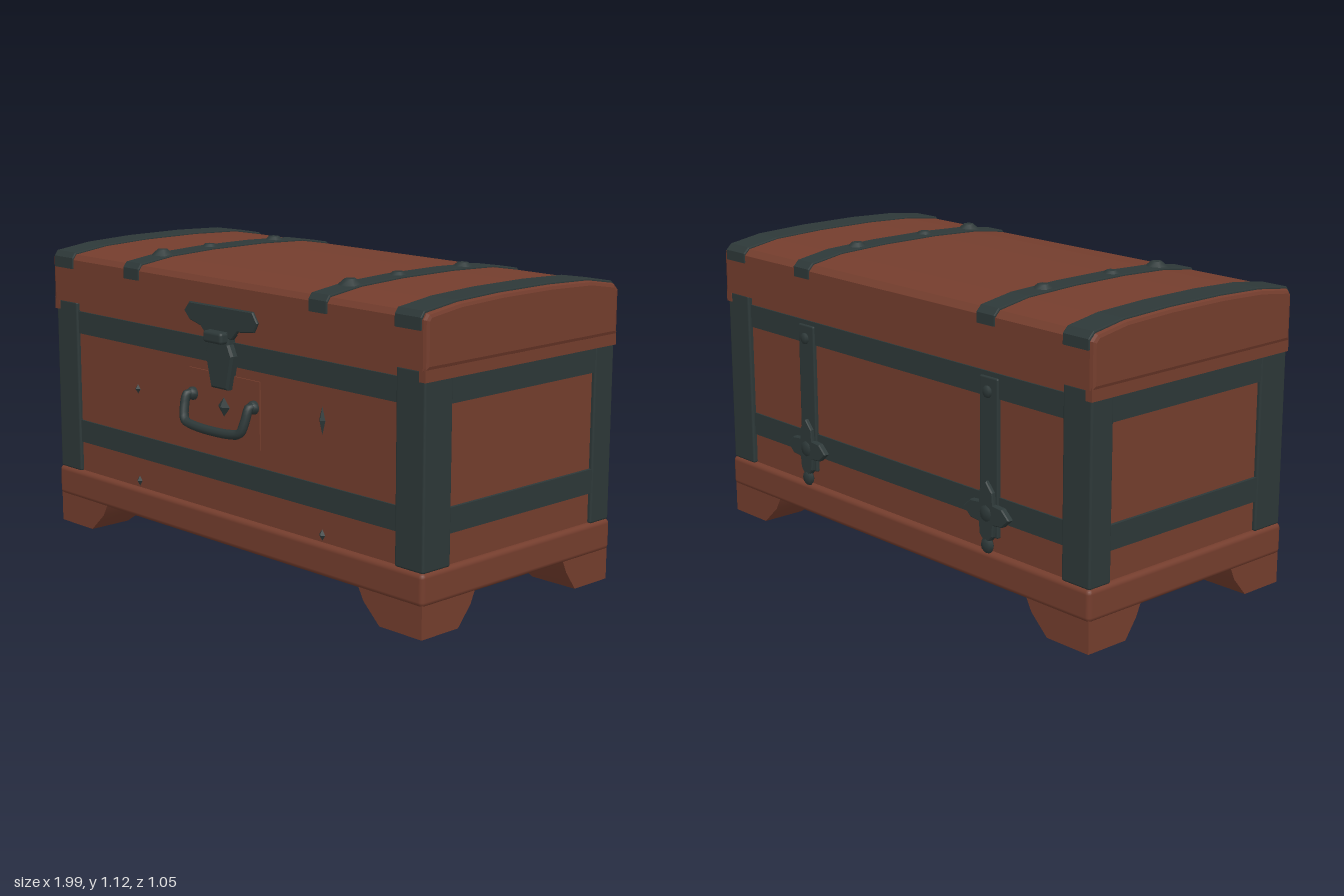
import * as THREE from 'three';
import { RoundedBoxGeometry } from 'three/addons/geometries/RoundedBoxGeometry.js';

export function createModel() {
  const chest = new THREE.Group();
  chest.name = 'chest';
  const wood = new THREE.MeshStandardMaterial({ color: 0x743d2d });
  wood.name = 'brown wood';
  const iron = new THREE.MeshStandardMaterial({ color: 0x2d3838 });
  iron.name = 'dark iron';

  const add = (name, geometry, material) => {
    const mesh = new THREE.Mesh(geometry, material);
    mesh.name = name;
    chest.add(mesh);
    return mesh;
  };
  // Box given by its limits on each axis; r rounds its edges
  const box = (name, material, x0, x1, y0, y1, z0, z1, r = 0) => {
    const size = [x1 - x0, y1 - y0, z1 - z0];
    const g = r ? new RoundedBoxGeometry(...size, 2, r) : new THREE.BoxGeometry(...size);
    return add(name, g.translate((x0 + x1) / 2, (y0 + y1) / 2, (z0 + z1) / 2), material);
  };
  const shapeOf = (pts) => new THREE.Shape(pts.map(([x, y]) => new THREE.Vector2(x, y)));
  // Profile in (z, y) swept from x0 to x1 with chamfered ends
  const sweep = (name, material, pts, x0, x1, b) => {
    const g = new THREE.ExtrudeGeometry(shapeOf(pts.map(([z, y]) => [-z, y])), {
      depth: x1 - x0 - 2 * b, bevelEnabled: true, bevelSize: b, bevelThickness: b, bevelOffset: -b, bevelSegments: 2,
    });
    return add(name, g.rotateY(Math.PI / 2).translate(x0 + b, 0, 0), material);
  };
  // Flat ornament in (x, y) with its back on the plane z
  const plate = (name, material, pts, z, depth, bevel = 0.004) => {
    const g = new THREE.ExtrudeGeometry(shapeOf(pts), {
      depth: depth - bevel, bevelSize: bevel, bevelThickness: bevel, bevelOffset: -bevel, bevelSegments: 1,
    });
    return add(name, g.translate(0, 0, z), material);
  };

  // Body and base rim
  box('body', wood, -0.97, 0.97, 0.15, 0.95, -0.488, 0.44);
  box('baseRim', wood, -0.99, 0.99, 0.11, 0.225, -0.512, 0.462, 0.018);

  // Lid with a slightly domed top
  const top = [[0.46, 1.055], [0.445, 1.075], [0.3, 1.094], [0.1, 1.102], [-0.15, 1.102], [-0.36, 1.094], [-0.49, 1.072], [-0.512, 1.05]];
  sweep('lid', wood, [[0.46, 0.89], ...top, [-0.512, 0.89]], -0.993, 0.993, 0.015);

  // Iron straps over the lid, ending in short tabs
  const grown = top.map(([z, y]) => [z + (z > 0.4 ? 0.004 : z < -0.45 ? -0.004 : 0), y + 0.007]);
  const strapProfile = [[0.464, 1.02], ...grown, [-0.516, 1.02]];
  for (const [x0, x1] of [[-0.978, -0.86], [-0.545, -0.455], [0.455, 0.545], [0.855, 0.973]]) {
    sweep('lidStrap', iron, strapProfile, x0, x1, 0.004);
  }

  for (const s of [-1, 1]) {
    const span = (a, b) => (s > 0 ? [a, b] : [-b, -a]);

    // Corner posts
    box('frontPost', iron, ...span(0.855, 0.984), 0.222, 0.892, 0.322, 0.454, 0.008);
    box('backPost', iron, ...span(0.855, 0.984), 0.222, 0.892, -0.506, -0.405, 0.008);

    // End bands and the wood lip above them
    for (const [y0, y1] of [[0.335, 0.422], [0.768, 0.856]]) {
      box('endBand', iron, ...span(0.96, 0.982), y0, y1, -0.41, 0.33);
    }
    box('endLip', wood, ...span(0.96, 0.988), 0.854, 0.9, -0.51, 0.458);

    // Studs on the lid straps
    for (const z of [0.31, 0.08, -0.25]) {
      add('lidStud', new THREE.CylinderGeometry(0.02, 0.045, 0.022, 6).translate(s * 0.5, 1.108, z), iron);
    }

    // Back hinge strap with a lobed boss
    box('hingeStrap', iron, ...span(0.455, 0.545), 0.28, 0.84, -0.502, -0.48, 0.006);
    const lobes = Array.from({ length: 16 }, (_, i) => {
      const a = (i / 16) * Math.PI * 2;
      const r = [0.115, 0.085, 0.052, 0.085][i % 4];
      return [s * 0.5 + r * Math.cos(a), 0.365 + r * Math.sin(a)];
    });
    plate('hingeBoss', iron, lobes, -0.512, 0.02);
    for (const [y, r] of [[0.365, 0.035], [0.79, 0.022], [0.25, 0.03]]) {
      add('hingeStud', new THREE.SphereGeometry(r, 8, 6).scale(1, 1, 0.5).translate(s * 0.5, y, -0.507), iron);
    }

    // Small front studs
    for (const [y, h] of [[s > 0 ? 0.65 : 0.605, s > 0 ? 0.05 : 0.018], [0.25, 0.02]]) {
      add('frontStud', new THREE.OctahedronGeometry(1).scale(0.015, h, 0.012).translate(s * 0.5, y, 0.44), iron);
    }

    // Feet: block corners stay upright, inner faces flare upward
    for (const t of [-1, 1]) {
      const g = new THREE.BoxGeometry(1, 1, 1, 1, 2, 1);
      const p = g.attributes.position;
      const zOut = t > 0 ? 0.455 : -0.505;
      const levels = t > 0 ? [0.28, 0.22, 0.195] : [-0.33, -0.28, -0.255];
      for (let i = 0; i < p.count; i++) {
        const k = Math.round((p.getY(i) + 0.5) * 2);
        const x = p.getX(i) * s > 0 ? 0.983 : [0.79, 0.715, 0.685][k];
        const z = p.getZ(i) * t > 0 ? zOut : levels[k];
        p.setXYZ(i, s * x, [0, 0.07, 0.125][k], z);
      }
      g.computeVertexNormals();
      add('foot', g, wood);
    }
  }

  // Horizontal bands on front and back
  for (const [y0, y1] of [[0.34, 0.427], [0.77, 0.856]]) {
    box('frontBand', iron, -0.86, 0.86, y0, y1, 0.43, 0.446);
    box('backBand', iron, -0.86, 0.86, y0, y1, -0.494, -0.48);
  }

  // Lock: lid plate, hanging hasp and knob
  plate('lockPlate', iron, [[-0.19, 0.945], [-0.16, 0.98], [0.18, 0.982], [0.205, 0.945], [0.185, 0.91], [0.1, 0.9], [0.07, 0.87], [-0.07, 0.87], [-0.1, 0.9], [-0.16, 0.915]], 0.455, 0.014);
  plate('hasp', iron, [[-0.055, 0.9], [0.055, 0.9], [0.055, 0.85], [0.075, 0.81], [0.045, 0.685], [-0.045, 0.685], [-0.075, 0.81], [-0.055, 0.85]], 0.438, 0.034, 0.008);
  box('knob', iron, -0.05, 0.05, 0.852, 0.895, 0.46, 0.502, 0.012);

  // Handle on its backing plate
  box('handlePlate', wood, -0.195, 0.19, 0.49, 0.735, 0.435, 0.446);
  const path = [[-0.165, 0.645, 0.45], [-0.168, 0.645, 0.475], [-0.165, 0.6, 0.492], [-0.15, 0.555, 0.503], [-0.1, 0.543, 0.506]];
  const points = [...path, ...path.map(([x, y, z]) => [-x, y, z]).reverse()].map((v) => new THREE.Vector3(...v));
  add('handle', new THREE.TubeGeometry(new THREE.CatmullRomCurve3(points), 40, 0.017, 8), iron);
  for (const x of [-0.165, 0.165]) {
    add('handleMount', new THREE.SphereGeometry(0.025, 8, 6).translate(x, 0.642, 0.452), iron);
  }
  add('keyStud', new THREE.OctahedronGeometry(1).scale(0.032, 0.035, 0.018).translate(0, 0.617, 0.446), iron);

  return chest;
}
